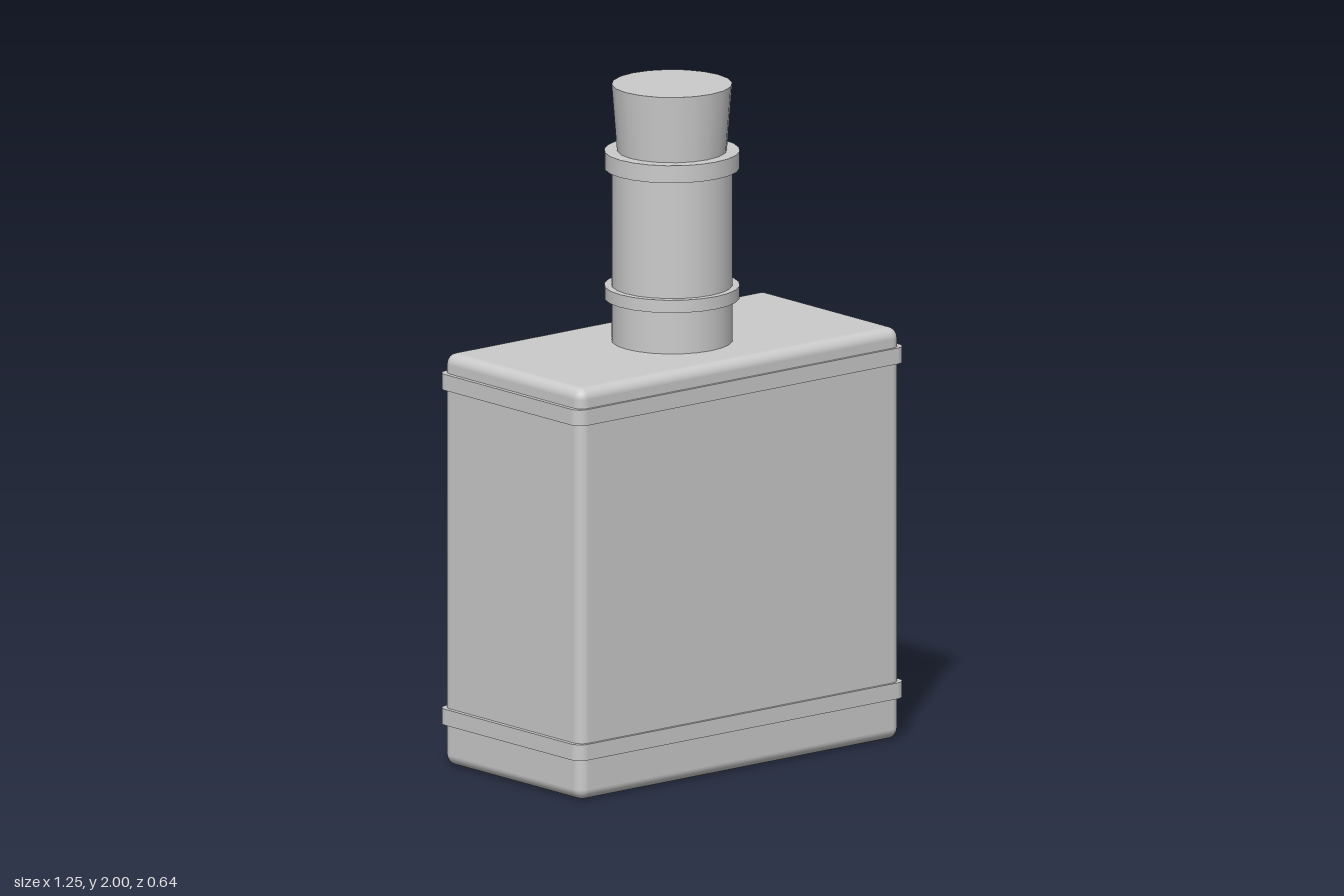
import * as THREE from 'three';
import { RoundedBoxGeometry } from 'three/addons/geometries/RoundedBoxGeometry.js';

const material = new THREE.MeshStandardMaterial({ color: 0xcccccc });

function add(group, name, geometry, y) {
  const mesh = new THREE.Mesh(geometry, material);
  mesh.name = name;
  mesh.position.y = y;
  group.add(mesh);
}

// Rounded rectangle centred on the origin
function roundedRect(width, depth, r) {
  const x = width / 2 - r, y = depth / 2 - r;
  const shape = new THREE.Shape();
  shape.absarc(x, y, r, 0, Math.PI / 2);
  shape.absarc(-x, y, r, Math.PI / 2, Math.PI);
  shape.absarc(-x, -y, r, Math.PI, Math.PI * 1.5);
  shape.absarc(x, -y, r, Math.PI * 1.5, Math.PI * 2);
  shape.closePath();
  return shape;
}

// Flat strip around the body, lying in the horizontal plane
function bandGeometry(height) {
  const geometry = new THREE.ExtrudeGeometry(roundedRect(1.254, 0.638, 0.035), {
    depth: height, bevelEnabled: false, curveSegments: 5,
  });
  return geometry.rotateX(-Math.PI / 2);
}

export function createModel() {
  const bottle = new THREE.Group();
  bottle.name = 'bottle';

  // Rectangular body with softened edges
  add(bottle, 'body', new RoundedBoxGeometry(1.226, 1.232, 0.62, 4, 0.032), 0.616);

  // Raised bands near the base and the shoulder
  add(bottle, 'lowerBand', bandGeometry(0.048), 0.123);
  add(bottle, 'upperBand', bandGeometry(0.048), 1.126);

  // Neck with two collars
  add(bottle, 'neck', new THREE.CylinderGeometry(0.177, 0.177, 0.58, 24), 1.505);
  add(bottle, 'neckRing', new THREE.CylinderGeometry(0.198, 0.198, 0.038, 24), 1.379);
  add(bottle, 'lip', new THREE.CylinderGeometry(0.198, 0.198, 0.052, 24), 1.775);

  // Tapered stopper
  add(bottle, 'stopper', new THREE.CylinderGeometry(0.176, 0.159, 0.22, 20), 1.89);

  return bottle;
}
